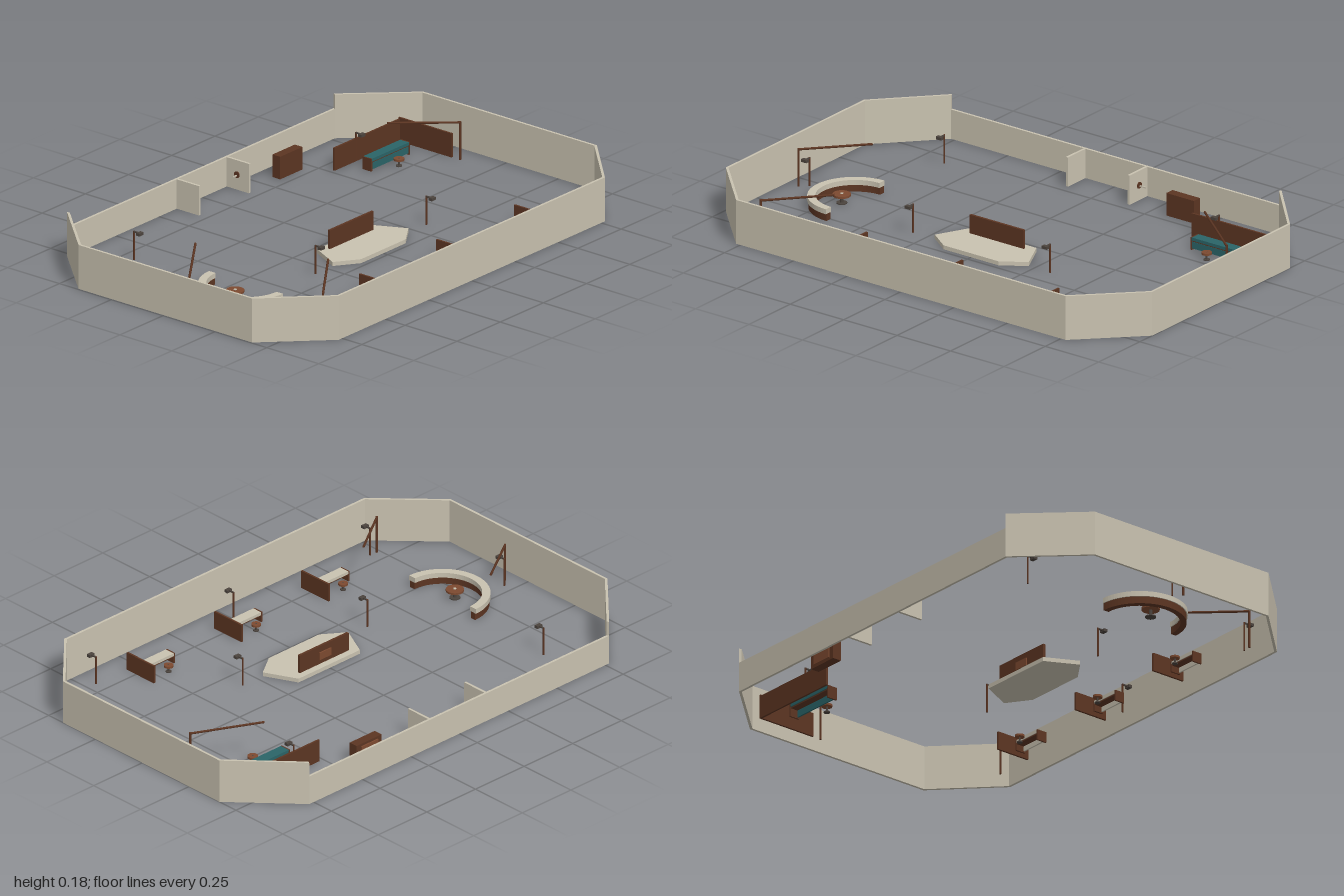
import * as THREE from 'three';

const mat = (name, color) => {
  const m = new THREE.MeshStandardMaterial({ color });
  m.name = name;
  return m;
};

export function createModel() {
  const model = new THREE.Group();
  model.name = 'enclosure';
  const stone = mat('pale stone', 0xc9c2b0);
  const wood = mat('dark wood', 0x5c3522);
  const warm = mat('warm wood', 0x7d4a30);
  const teal = mat('teal', 0x2a6468);
  const metal = mat('dark metal', 0x4c443e);

  const add = (name, geo, material, x = 0, y = 0, z = 0, parent = model) => {
    const m = new THREE.Mesh(geo, material);
    m.name = name;
    m.position.set(x, y, z);
    parent.add(m);
    return m;
  };
  // Box given by its extents along each axis
  const box = (name, material, x0, x1, y0, y1, z0, z1, parent) =>
    add(name, new THREE.BoxGeometry(x1 - x0, y1 - y0, z1 - z0), material,
      (x0 + x1) / 2, (y0 + y1) / 2, (z0 + z1) / 2, parent);
  // Upright prism over a plan outline of [x, z] points
  const prism = (name, material, pts, y0, y1) => {
    const shape = new THREE.Shape(pts.map(([x, z]) => new THREE.Vector2(x, -z)));
    const geo = new THREE.ExtrudeGeometry(shape, { depth: y1 - y0, bevelEnabled: false });
    return add(name, geo.rotateX(-Math.PI / 2), material, 0, y0, 0);
  };
  const group = (name, x, z) => {
    const g = new THREE.Group();
    g.name = name;
    g.position.set(x, 0, z);
    model.add(g);
    return g;
  };
  // Round bar between two points
  const bar = (name, material, a, b, r) => {
    const path = new THREE.LineCurve3(new THREE.Vector3(...a), new THREE.Vector3(...b));
    const d = path.v2.clone().sub(path.v1);
    const m = add(name, new THREE.CylinderGeometry(r, r, d.length(), 8), material);
    m.position.copy(path.getPoint(0.5));
    m.quaternion.setFromUnitVectors(new THREE.Vector3(0, 1, 0), d.normalize());
  };

  // Eight-sided perimeter wall, lower along the -x side
  const outer = [[-0.412, -1], [0.425, -1], [0.654, -0.772], [0.654, 0.77],
    [0.425, 0.995], [-0.412, 0.995], [-0.655, 0.77], [-0.655, -0.772]];
  const t = 0.01, c = 0.004;
  const inner = outer.map(([x, z], i) => {
    const onSide = i === 2 || i === 3 || i > 5;
    return [x - Math.sign(x) * (onSide ? t : c), z - Math.sign(z) * (onSide ? c : t)];
  });
  outer.forEach((p, i) => {
    const j = (i + 1) % 8;
    prism('perimeterWall', stone, [p, outer[j], inner[j], inner[i]], 0, i === 6 ? 0.117 : 0.175);
  });

  // Two short partitions beside the low wall, one with a round fitting
  for (const z of [-0.147, 0.142]) box('partition', stone, -0.646, -0.538, 0, 0.117, z - 0.005, z + 0.005);
  box('partitionRail', stone, -0.597, -0.593, 0.055, 0.06, -0.185, -0.12);
  add('partitionFitting', new THREE.CylinderGeometry(0.013, 0.013, 0.016, 16).rotateX(Math.PI / 2),
    wood, -0.595, 0.06, -0.147);

  // Central platform with its upright board
  prism('platform', stone, [[0.038, -0.16], [0.165, -0.222], [0.228, -0.13], [0.228, 0.128],
    [0.165, 0.218], [0.038, 0.155]], 0, 0.016);
  box('platformBoard', wood, 0.065, 0.075, 0.016, 0.09, -0.128, 0.124);
  box('platformPlaque', warm, 0.06, 0.066, 0.035, 0.065, -0.03, 0.03);

  // Half-ring counter
  const halfRing = (name, material, r0, r1, y0, y1) => {
    const s = new THREE.Shape();
    s.absarc(0, 0, r1, Math.PI, Math.PI * 2, false);
    s.absarc(0, 0, r0, Math.PI * 2, Math.PI, true);
    const geo = new THREE.ExtrudeGeometry(s, { depth: y1 - y0, bevelEnabled: false, curveSegments: 20 });
    add(name, geo.rotateX(-Math.PI / 2), material, 0.1, y0, 0.64);
  };
  halfRing('counterBase', wood, 0.151, 0.174, 0, 0.028);
  halfRing('counterTop', stone, 0.147, 0.178, 0.028, 0.048);

  // Round table and stools: foot, stem and seat
  const pedestal = (name, x, z, r, h) => {
    const g = group(name, x, z);
    add('foot', new THREE.CylinderGeometry(r * 0.6, r * 0.6, 0.004, 20), metal, 0, 0.002, 0, g);
    add('stem', new THREE.CylinderGeometry(r * 0.2, r * 0.2, h, 10), metal, 0, h / 2, 0, g);
    add('seat', new THREE.CylinderGeometry(r, r, 0.008, 24), warm, 0, h - 0.004, 0, g);
    return g;
  };
  const table = pedestal('roundTable', 0.1, 0.703, 0.034, 0.038);
  add('tableCentre', new THREE.CylinderGeometry(0.006, 0.006, 0.003, 12), stone, 0, 0.039, 0, table);
  pedestal('stool', -0.285, -0.707, 0.02, 0.032);

  // Bench or desk with a slab top on two end boards
  const desk = (name, material, x, z, w, l, h) => {
    const g = group(name, x, z);
    box('top', material, -w / 2, w / 2, h - 0.012, h, -l / 2 + 0.005, l / 2 - 0.005, g);
    box('underside', wood, -w / 2 + 0.003, w / 2 - 0.003, h - 0.017, h - 0.012, -l / 2 + 0.005, l / 2 - 0.005, g);
    box('backPanel', material, w / 2 - 0.008, w / 2 - 0.002, 0.006, h - 0.017, -l / 2 + 0.005, l / 2 - 0.005, g);
    for (const s of [-1, 1]) {
      const e = s * (l / 2 - 0.003);
      box('endBoard', wood, -w / 2, w / 2, 0, h, e - 0.003, e + 0.003, g);
    }
  };

  // Three work places along the +x side
  for (const z of [-0.45, 0, 0.447]) {
    desk('desk', stone, 0.485, z, 0.042, 0.128, 0.042);
    pedestal('stool', 0.431, z, 0.018, 0.03);
    box('screenPanel', wood, 0.405, 0.55, 0, 0.072, z - 0.101, z - 0.093);
  }

  // Corner bay: two boards around a teal bench
  box('bayBack', wood, -0.446, -0.19, 0, 0.095, -0.905, -0.897);
  box('baySide', wood, -0.446, -0.438, 0, 0.09, -0.897, -0.518);
  desk('tealBench', teal, -0.349, -0.71, 0.042, 0.224, 0.05);

  // Cabinet near the low wall
  box('cabinet', wood, -0.575, -0.538, 0, 0.09, -0.452, -0.323);
  box('cabinetDoor', warm, -0.58, -0.575, 0.01, 0.08, -0.43, -0.345);

  // Barrier arms rising from a post
  const barriers = [[-0.153, -0.902, -0.315, -0.675], [0.068, 0.93, -0.09, 0.705], [0.55, 0.735, 0.39, 0.513]];
  for (const [px, pz, ex, ez] of barriers) {
    bar('barrierPost', wood, [px, 0, pz], [px, 0.152, pz], 0.0045);
    bar('barrierArm', wood, [px, 0.148, pz], [ex, 0.174, ez], 0.0045);
  }

  // Lamps: post, arm towards +x and a small head
  const lamps = [[-0.42, -0.645], [-0.42, 0.64], [0.572, -0.707], [0.572, 0], [0.572, 0.703],
    [0.187, -0.323], [0.187, 0.318], [0.06, 0.9]];
  for (const [x, z] of lamps) {
    const g = group('lamp', x, z);
    add('post', new THREE.CylinderGeometry(0.0035, 0.0035, 0.115, 8), wood, -0.02, 0.0575, 0, g);
    box('arm', metal, -0.022, 0.006, 0.11, 0.115, -0.003, 0.003, g);
    box('head', metal, 0, 0.016, 0.105, 0.116, -0.012, 0.012, g);
  }
  return model;
}
